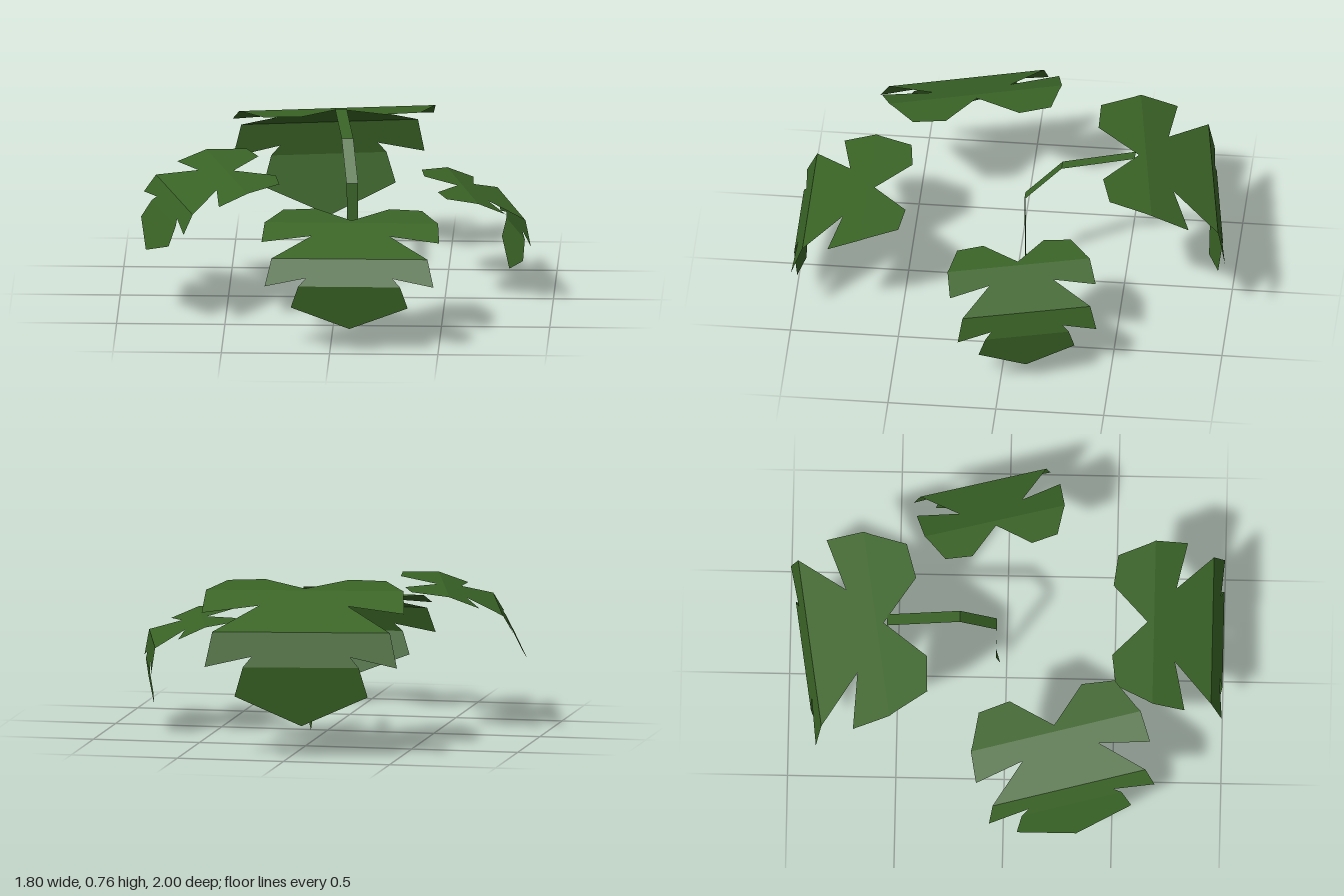
import * as THREE from 'three';

// Half leaf as strips of rows [station, inner half-width, outer half-width].
// Stations 0..4 run from the back lobes to the drooping tip.
const STRIPS = [
  [[0, .17, .17], [.1, .15, .32], [.84, 0, .384], [1, 0, .4], [1.37, 0, .407]], // back lobe
  [[1.37, .18, .407], [1.55, .41, .41]],                                        // back lobe corner
  [[1.37, 0, .18], [2, 0, .36], [2.7, 0, .381]],                                // side lobe
  [[2.7, .2, .381], [3, .39, .39]],                                             // side lobe corner
  [[2.7, 0, .2], [3, 0, .235], [3.5, 0, .27], [4, 0, 0]],                       // tip lobe
];

function quadsToGeometry(quads) {
  const pos = [];
  for (const [a, b, c, d] of quads) {
    if (a.distanceTo(d) > 1e-4) pos.push(...a, ...c, ...d);
    if (b.distanceTo(c) > 1e-4) pos.push(...a, ...b, ...c);
  }
  const geometry = new THREE.BufferGeometry();
  geometry.setAttribute('position', new THREE.Float32BufferAttribute(pos, 3));
  geometry.computeVertexNormals();
  return geometry;
}

// Folds the leaf outline over a profile of five [forward, height] points
function leafGeometry(profile, width) {
  const point = (u, t) => {
    const i = Math.min(Math.floor(t), 3), f = t - i;
    const [d0, y0] = profile[i], [d1, y1] = profile[i + 1];
    return new THREE.Vector3(u * width, y0 + (y1 - y0) * f, d0 + (d1 - d0) * f);
  };
  const quads = [];
  for (const strip of STRIPS) {
    for (let i = 0; i < strip.length - 1; i++) {
      const [t0, in0, out0] = strip[i], [t1, in1, out1] = strip[i + 1];
      quads.push([point(in0, t0), point(in1, t1), point(out1, t1), point(out0, t0)]);
      quads.push([point(-out0, t0), point(-out1, t1), point(-in1, t1), point(-in0, t0)]);
    }
  }
  return quadsToGeometry(quads);
}

// Flat ribbon along [x, y, z, half-width] points
function ribbonGeometry(path) {
  const quads = [];
  for (let i = 0; i < path.length - 1; i++) {
    const [x0, y0, z0, w0] = path[i], [x1, y1, z1, w1] = path[i + 1];
    quads.push([
      new THREE.Vector3(x0 - w0, y0, z0), new THREE.Vector3(x0 + w0, y0, z0),
      new THREE.Vector3(x1 + w1, y1, z1), new THREE.Vector3(x1 - w1, y1, z1),
    ]);
  }
  return quadsToGeometry(quads);
}

export function createModel() {
  const model = new THREE.Group();
  model.name = 'leafyPlant';
  const green = new THREE.MeshStandardMaterial({ color: 0x3a6426, side: THREE.DoubleSide, flatShading: true });
  green.name = 'leafGreen';

  // Four drooping leaves
  const leaves = [
    { name: 'frontLeaf', x: .09, z: .65, turn: 0, width: 1,
      profile: [[-.16, .555], [.03, .54], [.3, .44], [.35, .32], [.315, .11]] },
    { name: 'backLeaf', x: -.01, z: -.55, turn: Math.PI + .15, width: 1.14,
      profile: [[-.16, .76], [.05, .74], [.36, .59], [.39, .43], [.34, .15]] },
    { name: 'leftLeaf', x: .56, z: -.06, turn: 1.823, width: .83,
      profile: [[-.13, .535], [.02, .52], [.25, .42], [.27, .3], [.24, .11]] },
    { name: 'rightLeaf', x: -.47, z: .23, turn: -1.303, width: 1.01,
      profile: [[-.16, .675], [.03, .66], [.28, .565], [.33, .48], [.415, .31]] },
  ];
  for (const { name, x, z, turn, width, profile } of leaves) {
    const leaf = new THREE.Mesh(leafGeometry(profile, width), green);
    leaf.name = name;
    leaf.position.set(x, 0, z);
    leaf.rotation.y = turn;
    model.add(leaf);
  }

  // Stem rising from a point and bending back to the tallest leaf
  const stem = new THREE.Mesh(ribbonGeometry([
    [.073, 0, -.03, 0], [.073, .13, -.05, .022], [.07, .53, -.045, .027],
    [.042, .7, -.215, .027], [0, .75, -.55, .027],
  ]), green);
  stem.name = 'stem';
  model.add(stem);

  return model;
}
